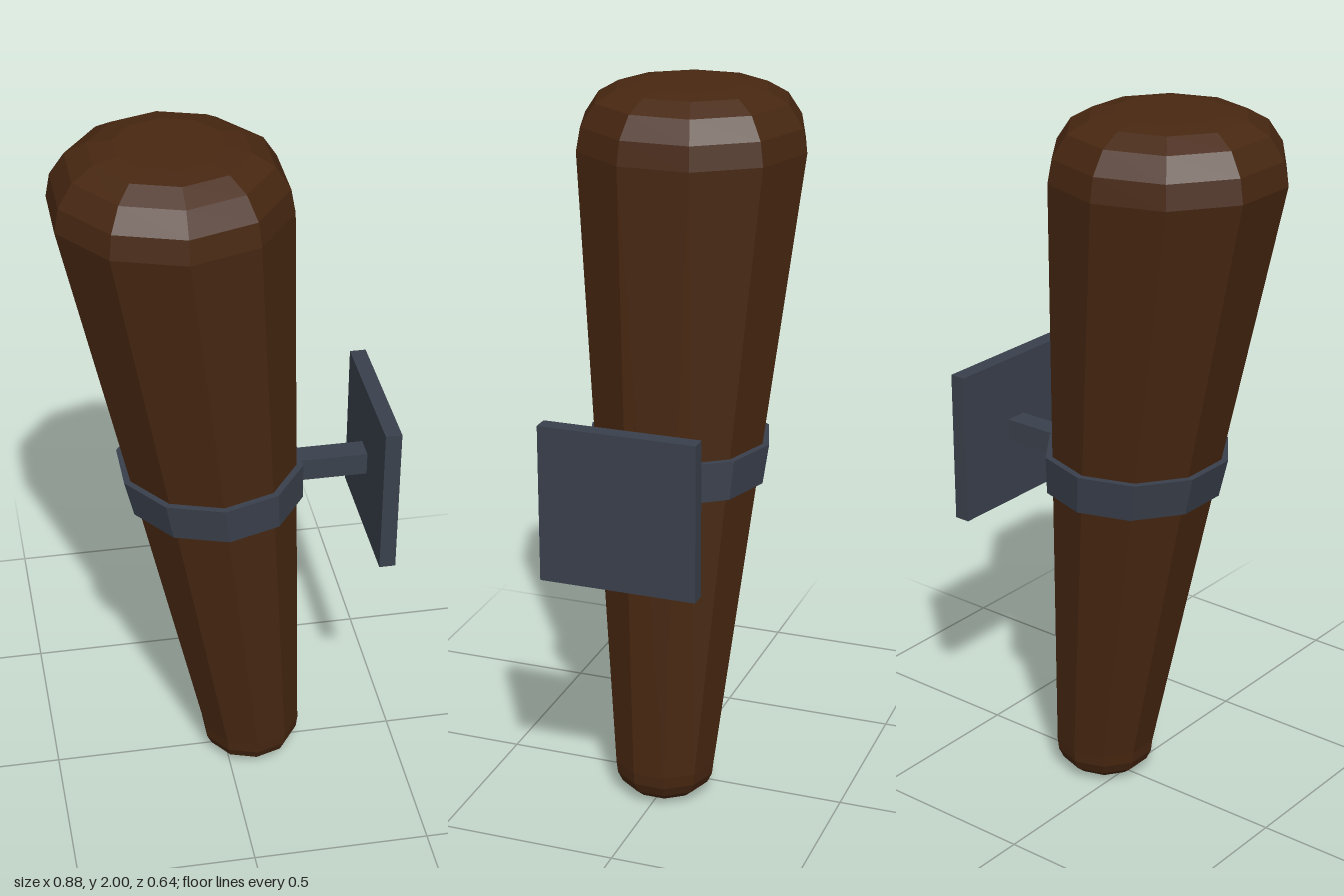
import * as THREE from 'three';

const SIDES = 10;
const wood = new THREE.MeshStandardMaterial({ color: 0x472711, flatShading: true });
const iron = new THREE.MeshStandardMaterial({ color: 0x3a404c, flatShading: true });

// Centre line of the leaning shaft: straight between the two rounded ends
const centreX = (y) => THREE.MathUtils.mapLinear(THREE.MathUtils.clamp(y, 0.1, 1.83), 0.1, 1.83, 0.075, -0.14);

// Ten-sided turned shape whose level rings follow the centre line
function leaningLathe(name, profile, material) {
  const geometry = new THREE.LatheGeometry(profile.map(([r, y]) => new THREE.Vector2(r, y)), SIDES);
  const p = geometry.attributes.position;
  for (let i = 0; i < p.count; i++) p.setX(i, p.getX(i) + centreX(p.getY(i)));
  geometry.computeVertexNormals();
  const mesh = new THREE.Mesh(geometry, material);
  mesh.name = name;
  return mesh;
}

function box(name, size, position) {
  const mesh = new THREE.Mesh(new THREE.BoxGeometry(...size), iron);
  mesh.name = name;
  mesh.position.set(...position);
  return mesh;
}

export function createModel() {
  const torch = new THREE.Group();
  torch.name = 'wallTorch';

  // Tapered wooden shaft with rounded ends
  torch.add(leaningLathe('shaft', [
    [0, 0], [0.07, 0.002], [0.1, 0.012], [0.127, 0.035], [0.141, 0.065], [0.145, 0.1],
    [0.32, 1.83], [0.308, 1.895], [0.268, 1.955], [0.21, 1.988], [0.145, 2], [0, 2],
  ], wood));

  // Iron band around the shaft
  torch.add(leaningLathe('band', [
    [0.22, 0.93], [0.246, 0.93], [0.259, 1.04], [0.23, 1.04],
  ], iron));

  // Bracket arm and wall plate
  torch.add(box('arm', [0.24, 0.065, 0.065], [0.29, 0.987, -0.002]));
  torch.add(box('wallPlate', [0.045, 0.434, 0.434], [0.418, 0.985, 0]));

  return torch;
}
